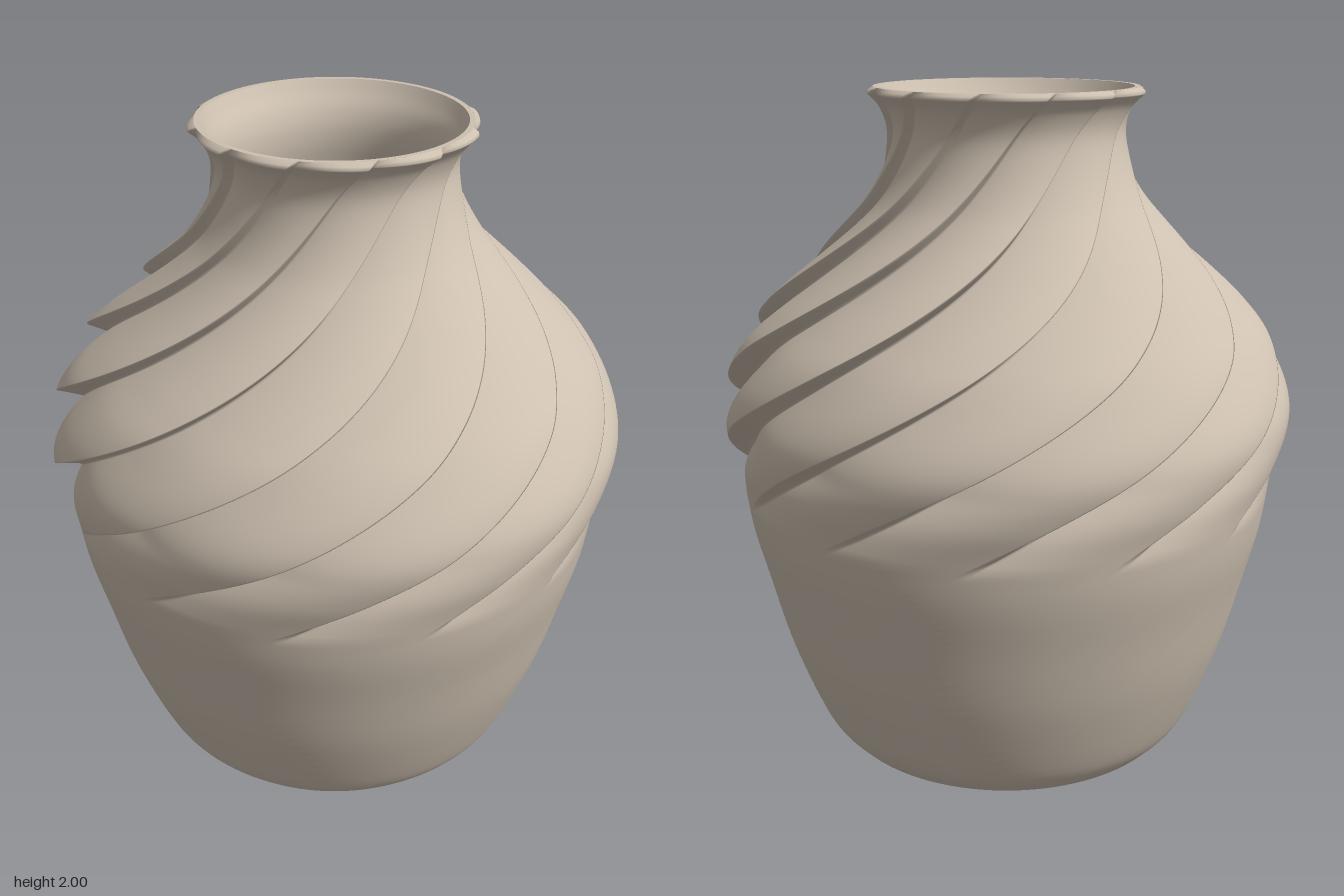
import * as THREE from 'three';

const FLUTES = 12;
const DEG = Math.PI / 180;

// outer envelope of the wall: [radius, height]
const OUTER = [
  [0.54, 0.01], [0.6, 0.09], [0.69, 0.32], [0.752, 0.55], [0.79, 0.7], [0.812, 0.84],
  [0.838, 0.94], [0.862, 1.06], [0.842, 1.17], [0.79, 1.285], [0.72, 1.37], [0.64, 1.45],
  [0.555, 1.53], [0.47, 1.615], [0.41, 1.69], [0.368, 1.78], [0.35, 1.87], [0.37, 1.94], [0.408, 1.983],
];

// flute depth by height: [height, depth]
const DEPTH = [[0.8, 0], [0.88, 0.03], [1.0, 0.085], [1.2, 0.095], [1.45, 0.075], [1.7, 0.045], [1.87, 0.03], [1.99, 0.022], [2, 0]];

function fluteDepth(y) {
  if (y <= DEPTH[0][0]) return 0;
  for (let i = 1; i < DEPTH.length; i++) {
    const [y0, d0] = DEPTH[i - 1], [y1, d1] = DEPTH[i];
    if (y <= y1) return THREE.MathUtils.lerp(d0, d1, (y - y0) / (y1 - y0));
  }
  return 0;
}

// one flute: a rounded rise from the groove to the ridge, then a steep drop
const RIDGE = 0.93;
const STEPS = [0, 0.025, 0.1, 0.2, 0.3, 0.4, 0.5, 0.6, 0.7, 0.8, 0.88, 0.915, RIDGE, 0.945, 0.985];
function fluteHeight(t) {
  if (t <= RIDGE) return 1 - Math.pow(1 - t / RIDGE, 1.8);
  return (1 - t) / (1 - RIDGE);
}

// grid whose columns follow the spiral grooves
function flutedWall() {
  const profile = new THREE.SplineCurve(OUTER.map(([r, y]) => new THREE.Vector2(r, y))).getPoints(126);
  profile.unshift(new THREE.Vector2(0.53, 0));
  profile.push(new THREE.Vector2(0.405, 1.992), new THREE.Vector2(0.388, 2));

  const positions = [], indices = [];
  const columns = FLUTES * STEPS.length;
  profile.forEach(({ x: radius, y }) => {
    const start = 17.3 + 122 * (y - 0.83);
    for (let k = 0; k < FLUTES; k++) {
      for (const t of STEPS) {
        const angle = (start + (k + t) * 360 / FLUTES) * DEG;
        const r = radius - fluteDepth(y) * (1 - fluteHeight(t));
        positions.push(r * Math.sin(angle), y, r * Math.cos(angle));
      }
    }
  });
  for (let j = 0; j < profile.length - 1; j++) {
    for (let i = 0; i < columns; i++) {
      const next = (i + 1) % columns;
      const a = j * columns + i, b = j * columns + next;
      const c = a + columns, d = b + columns;
      indices.push(a, b, d, a, d, c);
    }
  }
  const geometry = new THREE.BufferGeometry();
  geometry.setAttribute('position', new THREE.Float32BufferAttribute(positions, 3));
  geometry.setIndex(indices);
  geometry.computeVertexNormals();
  return geometry;
}

function lathe(points) {
  return new THREE.LatheGeometry(points.map(([r, y]) => new THREE.Vector2(r, y)), 96);
}

export function createModel() {
  const vase = new THREE.Group();
  vase.name = 'vase';
  const clay = new THREE.MeshStandardMaterial({ color: 0xcdc0b0 });
  clay.name = 'beige clay';

  const add = (name, geometry) => {
    const mesh = new THREE.Mesh(geometry, clay);
    mesh.name = name;
    vase.add(mesh);
    return mesh;
  };

  add('flutedBody', flutedWall());

  // flat lip around the mouth
  add('rim', lathe([[0.388, 2], [0.372, 2]]));

  // smooth hollow inside
  const inner = new THREE.SplineCurve([
    [0.372, 2], [0.355, 1.97], [0.325, 1.92], [0.31, 1.86], [0.315, 1.78], [0.345, 1.68], [0.45, 1.53],
    [0.58, 1.38], [0.68, 1.22], [0.73, 1.06], [0.74, 0.86], [0.71, 0.6], [0.64, 0.32], [0.55, 0.09], [0.52, 0.05],
  ].map(([r, y]) => new THREE.Vector2(r, y))).getPoints(70);
  add('innerWall', new THREE.LatheGeometry(inner, 96));

  // inner floor and underside
  const floor = add('innerFloor', new THREE.CircleGeometry(0.52, 96));
  floor.rotation.x = -Math.PI / 2;
  floor.position.y = 0.05;
  const base = add('base', new THREE.CircleGeometry(0.53, 96));
  base.rotation.x = Math.PI / 2;

  return vase;
}
